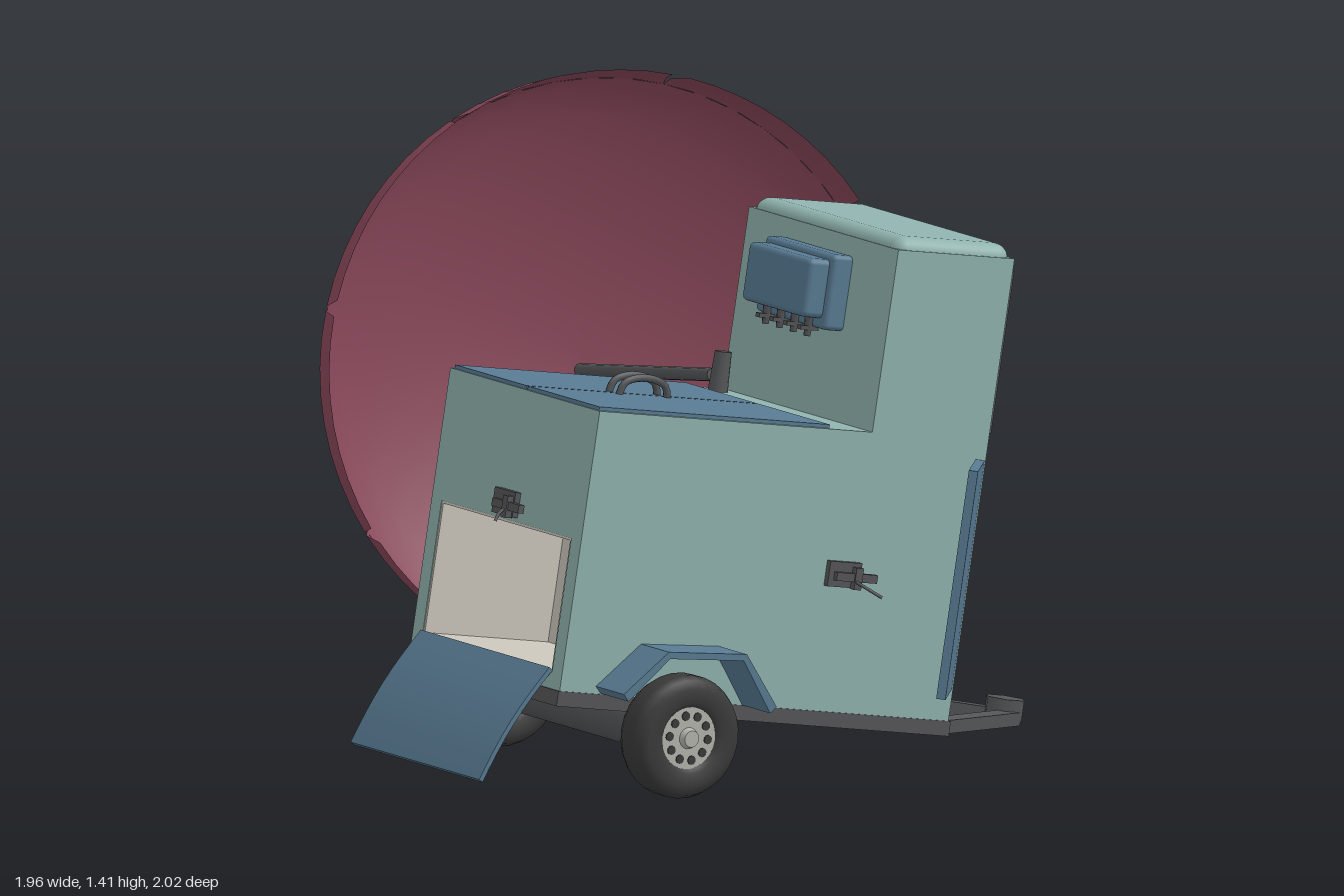
import * as THREE from 'three';
import { RoundedBoxGeometry } from 'three/addons/geometries/RoundedBoxGeometry.js';

const mat = (name, color, side = THREE.FrontSide) => {
  const m = new THREE.MeshStandardMaterial({ color, side });
  m.name = name;
  return m;
};

export function createModel() {
  const teal = mat('teal paint', 0x8fb2ad);
  const blue = mat('blue paint', 0x587a92, THREE.DoubleSide);
  const red = mat('maroon canvas', 0x8a485a, THREE.DoubleSide);
  const grey = mat('dark grey metal', 0x555658);
  const black = mat('tyre rubber', 0x3b3a3a);
  const silver = mat('hub metal', 0xb4b4ae);
  const cream = mat('cream lining', 0xcbc5bb);

  const model = new THREE.Group();
  const add = (parent, name, geo, m, x = 0, y = 0, z = 0) => {
    const mesh = new THREE.Mesh(geo, m);
    mesh.name = name;
    mesh.position.set(x, y, z);
    parent.add(mesh);
    return mesh;
  };
  // box given by its limits on each axis
  const block = (parent, name, m, x0, x1, y0, y1, z0, z1) =>
    add(parent, name, new THREE.BoxGeometry(x1 - x0, y1 - y0, z1 - z0), m,
      (x0 + x1) / 2, (y0 + y1) / 2, (z0 + z1) / 2);
  const group = (parent, name, x = 0, y = 0, z = 0) => {
    const g = new THREE.Group();
    g.name = name;
    g.position.set(x, y, z);
    parent.add(g);
    return g;
  };
  const tube = (parent, name, m, pts, r) =>
    add(parent, name, new THREE.TubeGeometry(
      new THREE.CatmullRomCurve3(pts.map(p => new THREE.Vector3(...p))), 16, r, 8), m);

  // The cart leans forward onto its hitch: x runs along its floor, y up from it
  const cart = group(model, 'cart', -0.79, 0.28, 0.438);
  cart.rotation.z = -0.169;
  const W = 0.323;

  // Body: side slabs with a notched core between them, open at the rear
  const extrude = (name, pts, z0, z1) => {
    const shape = new THREE.Shape(pts.map(p => new THREE.Vector2(...p)));
    add(cart, name, new THREE.ExtrudeGeometry(shape, { depth: z1 - z0, bevelEnabled: false }), teal, 0, 0, z0);
  };
  const upper = [[1.105, 0], [1.105, 1.105], [0.775, 1.105], [0.775, 0.67], [0, 0.67]];
  extrude('bodySideRight', [[0, 0], ...upper], 0.28, W);
  extrude('bodySideLeft', [[0, 0], ...upper], -W, -0.28);
  extrude('bodyCore', [[0, 0], ...upper, [0, 0.36], [0.36, 0.36], [0.36, 0.04], [0, 0.04]], -0.28, 0.28);
  add(cart, 'towerCap', new RoundedBoxGeometry(0.325, 0.13, 0.64, 3, 0.035), teal, 0.94, 1.07, 0);

  // Lining of the rear compartment
  const lining = group(cart, 'compartmentLining');
  block(lining, 'liningBack', cream, 0.352, 0.36, 0.04, 0.36, -0.28, 0.28);
  block(lining, 'liningFloor', cream, 0.002, 0.36, 0.038, 0.046, -0.28, 0.28);
  block(lining, 'liningRoof', cream, 0.002, 0.36, 0.354, 0.362, -0.28, 0.28);
  for (const s of [-1, 1])
    block(lining, 'liningSide', cream, 0.002, 0.36, 0.04, 0.36, s * 0.278 - 0.004, s * 0.278 + 0.004);

  // Rear flap, hanging open and slightly bowed
  const flap = new THREE.BoxGeometry(0.317, 0.012, 0.556, 8, 1, 1).translate(-0.158, 0, 0);
  const fp = flap.attributes.position;
  for (let i = 0; i < fp.count; i++)
    fp.setY(i, fp.getY(i) + 0.012 * Math.sin(-fp.getX(i) / 0.317 * Math.PI));
  flap.computeVertexNormals();
  add(cart, 'rearFlap', flap, blue, -0.003, 0.048, 0).rotation.z = 1.07;

  // Side door, swung open
  const door = add(cart, 'sideDoor', new THREE.BoxGeometry(0.286, 0.545, 0.022).translate(-0.143, 0, 0),
    blue, 1.085, 0.352, W + 0.006);
  door.rotation.y = 0.934;

  // Top lids with handles
  for (const s of [-1, 1]) {
    block(cart, 'topLid', blue, 0.005, 0.66, 0.662, 0.679, s > 0 ? 0.003 : -0.312, s > 0 ? 0.312 : -0.003);
    const z = s * 0.022;
    tube(cart, 'lidHandle', grey, [[0.25, 0.672, z], [0.262, 0.705, z], [0.295, 0.719, z],
      [0.345, 0.719, z], [0.378, 0.705, z], [0.39, 0.672, z]], 0.009);
  }

  // Louvred grille on the tower front
  const grille = group(cart, 'grille');
  block(grille, 'grilleBack', black, 1.1, 1.109, 0.69, 1.07, -0.3, 0.3);
  for (const s of [-1, 1])
    block(grille, 'grilleSide', grey, 1.1, 1.122, 0.686, 1.074, s * 0.297 - 0.007, s * 0.297 + 0.007);
  for (const y of [0.692, 1.068])
    block(grille, 'grilleRail', grey, 1.1, 1.122, y - 0.006, y + 0.006, -0.304, 0.304);
  for (let i = 0; i < 9; i++) {
    const slat = add(grille, 'slat', new THREE.BoxGeometry(0.007, 0.038, 0.585), grey, 1.116, 0.722 + i * 0.0395, 0);
    slat.rotation.z = 0.4;
  }

  // Drink dispenser on the tower rear, with a row of taps
  const disp = group(cart, 'dispenser');
  add(disp, 'dispenserBack', new RoundedBoxGeometry(0.06, 0.18, 0.3, 2, 0.012), blue, 0.75, 0.97, -0.008);
  add(disp, 'dispenserFront', new RoundedBoxGeometry(0.07, 0.14, 0.27, 2, 0.014), blue, 0.7, 0.975, -0.008);
  for (let i = 0; i < 4; i++) {
    const z = -0.098 + i * 0.06;
    add(disp, 'tap', new THREE.CylinderGeometry(0.012, 0.008, 0.055, 8), grey, 0.715, 0.885, z);
    block(disp, 'tapLever', grey, 0.69, 0.74, 0.872, 0.882, z - 0.008, z + 0.008);
  }

  // Latches on the side and the rear
  const latch = (name, x, y, z, turn) => {
    const g = group(cart, name, x, y, z);
    g.rotation.y = turn;
    block(g, 'latchPlate', grey, -0.045, 0.045, -0.03, 0.03, -0.005, 0.015);
    block(g, 'latchBolt', grey, -0.03, 0.085, -0.014, 0.006, 0.012, 0.028);
    block(g, 'latchKnob', grey, 0.02, 0.04, -0.032, 0.02, 0.012, 0.032);
    tube(g, 'latchWire', grey, [[0.02, -0.01, 0.02], [0.035, -0.02, 0.045], [0.07, -0.04, 0.08]], 0.004);
  };
  latch('sideLatch', 0.745, 0.33, W, 0);
  latch('rearLatch', 0, 0.4, 0, -Math.PI / 2);

  // Chassis rails and hitch
  for (const s of [-1, 1]) {
    block(cart, 'sideRail', grey, -0.005, 1.11, -0.034, 0.002, s * 0.3 - 0.026, s * 0.3 + 0.026);
    const dx = 0.39, dz = -s * 0.275;
    const bar = add(cart, 'hitchBar', new THREE.BoxGeometry(Math.hypot(dx, dz) + 0.02, 0.032, 0.045), grey,
      1.09 + dx / 2, -0.014, s * 0.3 + dz / 2);
    bar.rotation.y = Math.atan2(-dz, dx);
  }
  for (const x of [0.02, 1.085])
    block(cart, 'crossRail', grey, x - 0.025, x + 0.025, -0.034, 0.002, -0.3, 0.3);
  const coupler = add(cart, 'coupler', new THREE.CylinderGeometry(0.05, 0.05, 0.05, 6), grey, 1.475, 0.005, 0);
  coupler.rotation.y = Math.PI / 6;

  // Axle, wheels and mudguards
  const AX = 0.312, AY = -0.0735;
  add(cart, 'axle', new THREE.CylinderGeometry(0.055, 0.055, 0.7, 20).rotateX(Math.PI / 2), grey, AX, AY, 0);
  const tyrePts = [[0.074, -0.04], [0.085, -0.05], [0.118, -0.051], [0.138, -0.042], [0.147, -0.022],
    [0.147, 0.022], [0.138, 0.042], [0.118, 0.051], [0.085, 0.05], [0.074, 0.04]].map(p => new THREE.Vector2(...p));
  const guard = [[0.1, 0.02], [0.21, 0.128], [0.43, 0.137], [0.535, 0.018]];
  for (const s of [-1, 1]) {
    const wheel = group(cart, 'wheel', AX, AY, s * 0.386);
    wheel.rotation.x = s * Math.PI / 2;
    add(wheel, 'tyre', new THREE.LatheGeometry(tyrePts, 28), black);
    add(wheel, 'hub', new THREE.CylinderGeometry(0.076, 0.076, 0.078, 28), silver);
    add(wheel, 'hubCap', new THREE.CylinderGeometry(0.02, 0.026, 0.016, 16), silver, 0, 0.046, 0);
    for (let i = 0; i < 10; i++) {
      const a = i * Math.PI / 5;
      add(wheel, 'hubHole', new THREE.CylinderGeometry(0.011, 0.011, 0.005, 10), black,
        0.054 * Math.cos(a), 0.039, 0.054 * Math.sin(a));
    }
    const outline = [...guard, ...guard.slice().reverse().map(([x, y], i) =>
      [x + [-0.016, -0.006, 0.006, 0.016][i], y - 0.016])];
    const shape = new THREE.Shape(outline.map(p => new THREE.Vector2(...p)));
    add(cart, 'mudguard', new THREE.ExtrudeGeometry(shape, { depth: 0.122, bevelEnabled: false }), blue,
      0, 0, s > 0 ? 0.322 : -0.444);
  }

  // Parasol holder
  add(cart, 'parasolHolder', new THREE.CylinderGeometry(0.02, 0.024, 0.1, 12), grey, 0.722, 0.715, -0.265);

  // Parasol: local y runs along its pole, origin at the centre of the rim
  const parasol = group(model, 'parasol', 0.31, 0.69, -0.745);
  const axis = new THREE.Vector3(0.287, -0.173, -0.942).normalize();
  const across = new THREE.Vector3(0.957, 0, 0.291).normalize();
  parasol.quaternion.setFromRotationMatrix(
    new THREE.Matrix4().makeBasis(across, axis, across.clone().cross(axis)));
  add(parasol, 'pole', new THREE.CylinderGeometry(0.016, 0.016, 1.18, 12), grey, 0, -0.36, 0);
  add(parasol, 'poleTip', new THREE.CylinderGeometry(0.012, 0.014, 0.06, 10), grey, 0, 0.21, 0);
  const dome = [[0, 0.2], [0.1, 0.196], [0.2, 0.184], [0.31, 0.164], [0.42, 0.134], [0.52, 0.098],
    [0.6, 0.062], [0.66, 0.028], [0.69, 0]].map(p => new THREE.Vector2(...p));
  add(parasol, 'canopy', new THREE.LatheGeometry(dome.reverse(), 48), red);

  // Eight valance panels, tapering to leave wedge gaps
  const N = 8;
  for (let k = 0; k < 8; k++) {
    const mid = THREE.MathUtils.degToRad(97.5 + k * 45);
    const pos = [], idx = [];
    for (let i = 0; i <= N; i++) {
      const t = i / N * 2 - 1;
      for (const [half, r, y] of [[22.5, 0.69, 0], [22.1, 0.704, -0.035], [20.9, 0.71, -0.14]]) {
        const a = mid + THREE.MathUtils.degToRad(half * t);
        pos.push(r * Math.cos(a), y, r * Math.sin(a));
      }
      if (i < N) for (let j = 0; j < 2; j++) {
        const q = i * 3 + j;
        idx.push(q, q + 3, q + 1, q + 3, q + 4, q + 1);
      }
    }
    const geo = new THREE.BufferGeometry();
    geo.setAttribute('position', new THREE.Float32BufferAttribute(pos, 3));
    geo.setIndex(idx);
    geo.computeVertexNormals();
    add(parasol, 'valancePanel', geo, red);
  }
  return model;
}
